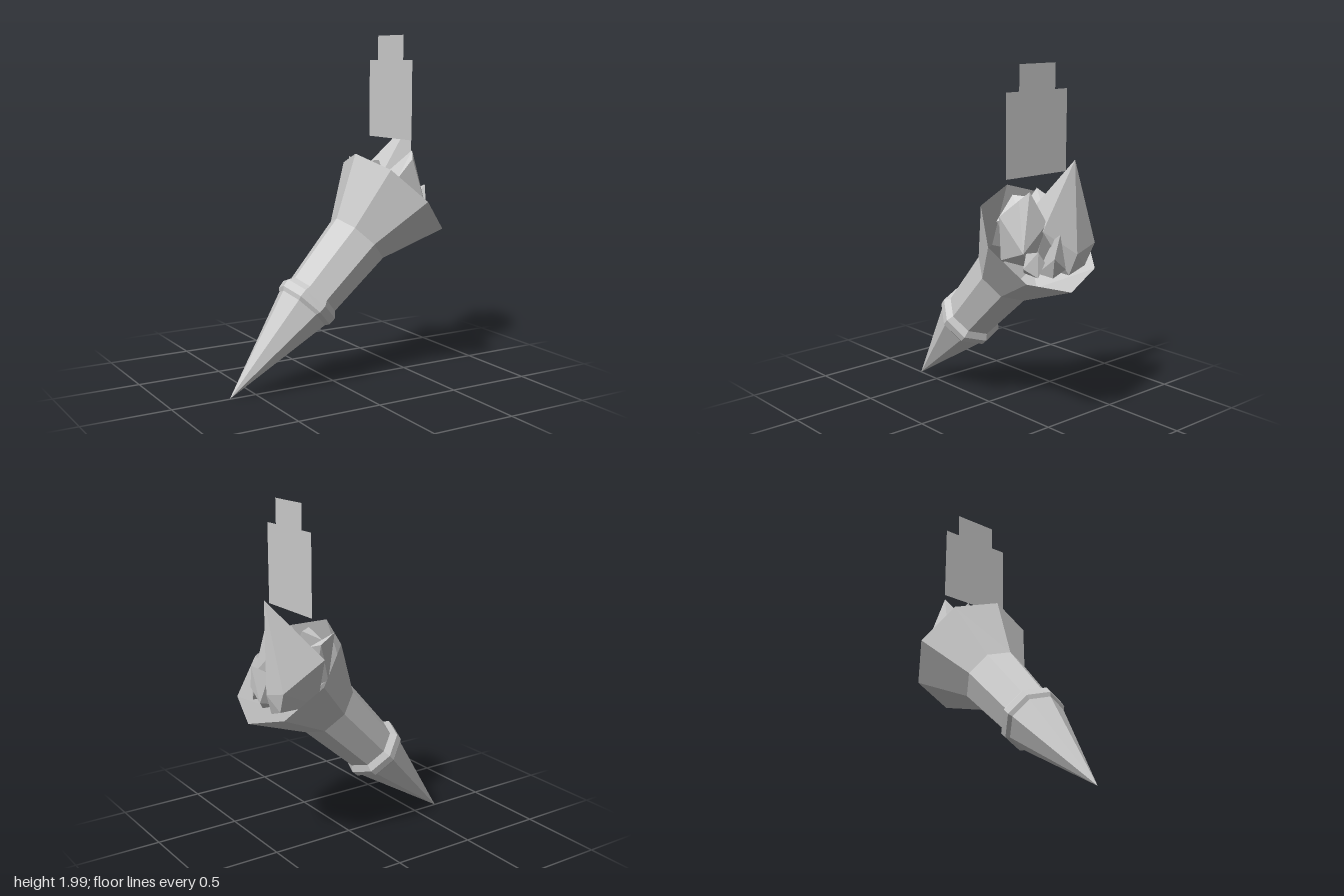
import * as THREE from 'three';
import { ConvexGeometry } from 'three/addons/geometries/ConvexGeometry.js';

const faceted = () => new THREE.MeshStandardMaterial({ color: 0xcccccc, flatShading: true, side: THREE.DoubleSide });

function part(name, geometry) {
  const mesh = new THREE.Mesh(geometry, faceted());
  mesh.name = name;
  return mesh;
}

// A faceted shard wrapped around a few corner points
const shard = (name, corners) =>
  part(name, new ConvexGeometry(corners.map((c) => new THREE.Vector3(...c))));

export function createModel() {
  const model = new THREE.Group();
  model.name = 'torch';

  // Eight-sided holder: pointed tail, collar, handle and flared cup, leaning 45 degrees
  const profile = [
    [0, 0], [0.645, 0.165], [0.665, 0.183], [0.71, 0.187],
    [0.745, 0.16], [1.16, 0.19], [1.506, 0.36],
  ].map(([t, r]) => new THREE.Vector2(r, t));
  const holder = part('holder', new THREE.LatheGeometry(profile, 8));
  holder.position.set(-0.66, 0.01, 0);
  holder.rotation.z = -Math.PI / 4;
  model.add(holder);

  // Shards standing in the cup
  const shards = new THREE.Group();
  shards.name = 'shards';
  shards.add(
    shard('tallShard', [
      [0.59, 1.51, -0.08], [0.585, 1.04, -0.25], [0.6, 1.0, -0.1], [0.5, 1.13, 0.06],
      [0.32, 1.18, -0.24], [0.33, 1.2, 0], [0.57, 0.92, -0.19], [0.56, 0.88, -0.08], [0.28, 0.88, -0.1],
    ]),
    shard('middleShard', [
      [0.46, 1.345, 0.12], [0.43, 1.3, 0.17], [0.5, 1.17, 0.03], [0.5, 1.03, 0.2],
      [0.31, 1.2, 0.2], [0.33, 1.21, 0.04], [0.28, 0.95, 0.16], [0.46, 0.93, 0.1],
    ]),
    shard('rearShard', [
      [0.21, 1.3, -0.17], [0.31, 1.25, -0.19], [0.33, 1.22, -0.1],
      [0.2, 1.2, -0.08], [0.22, 1.02, -0.12], [0.28, 0.98, -0.07],
    ]),
    shard('innerShard', [
      [0.31, 1.285, 0], [0.24, 1.29, 0.04], [0.23, 1.24, -0.08], [0.17, 1.14, 0.01],
      [0.21, 1.15, 0.13], [0.32, 1.18, 0.06], [0.24, 0.95, 0.02],
    ]),
    shard('lowShard', [
      [0.61, 1.13, 0.04], [0.6, 1.0, 0.07], [0.595, 0.93, -0.02], [0.52, 1.08, 0.0],
      [0.55, 0.88, 0.03], [0.42, 0.88, 0.02],
    ]),
    shard('smallShard', [
      [0.55, 1.04, 0.14], [0.56, 0.98, 0.1], [0.5, 1.03, 0.18], [0.5, 0.95, 0.2],
      [0.55, 0.9, 0.14], [0.42, 0.9, 0.12],
    ]),
  );
  model.add(shards);

  // Flat stepped flame card standing above the cup
  const outline = new THREE.Shape([
    [-0.22, 1.41], [0.22, 1.41], [0.22, 1.86], [0.13, 1.86],
    [0.13, 2], [-0.13, 2], [-0.13, 1.86], [-0.22, 1.86],
  ].map(([z, y]) => new THREE.Vector2(z, y)));
  const flame = part('flameCard', new THREE.ShapeGeometry(outline));
  flame.rotation.y = Math.PI / 2;
  flame.position.x = 0.385;
  model.add(flame);

  return model;
}
